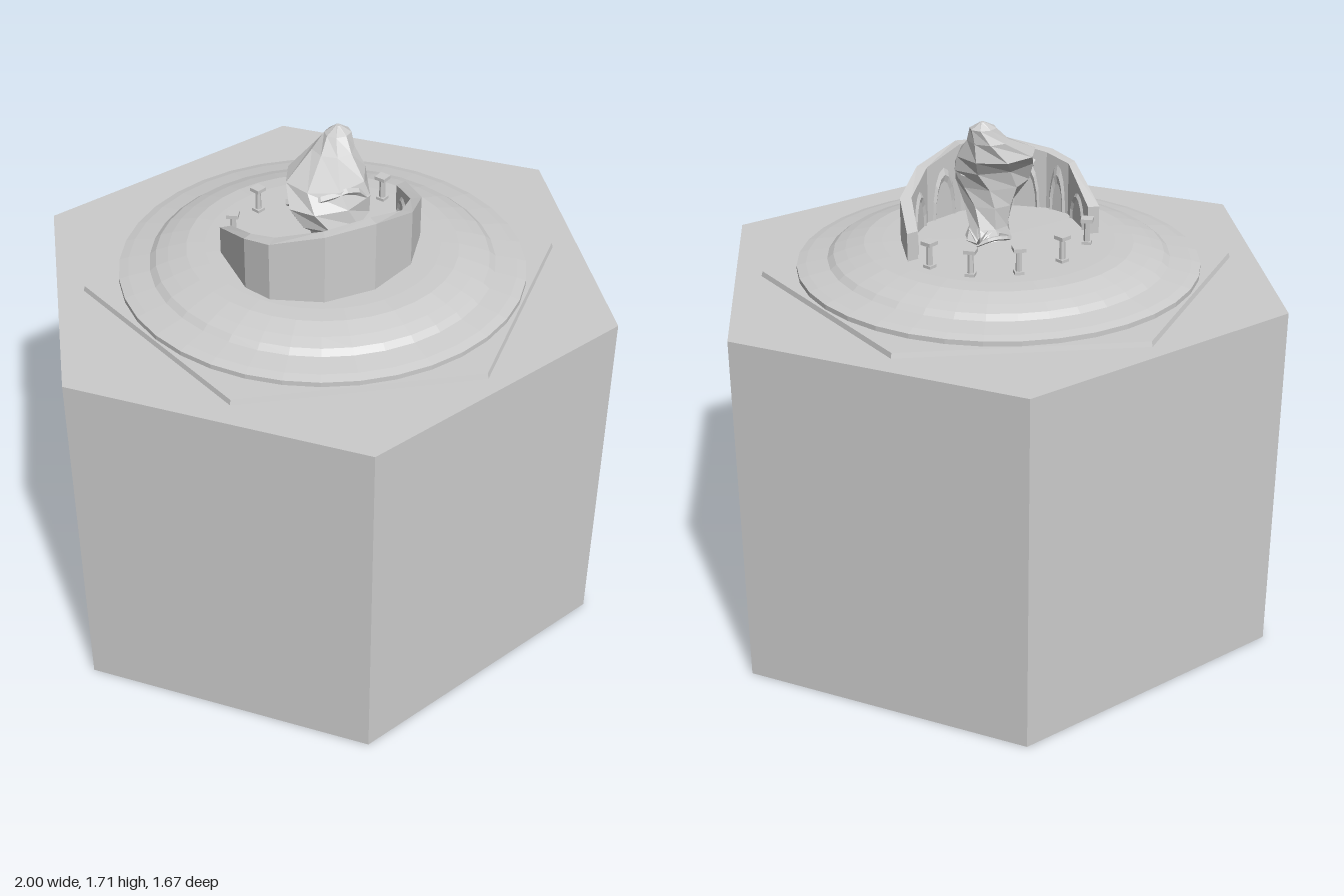
import * as THREE from 'three';

const material = new THREE.MeshStandardMaterial({ color: 0xcccccc, flatShading: true });

function add(parent, name, geometry, x = 0, y = 0, z = 0) {
  const mesh = new THREE.Mesh(geometry, material);
  mesh.name = name;
  mesh.position.set(x, y, z);
  parent.add(mesh);
  return mesh;
}

// Skin a list of closed cross-sections and cap both ends
function loft(sections) {
  const n = sections[0].length, last = (sections.length - 1) * n, index = [];
  for (let i = 0; i < sections.length - 1; i++) {
    for (let j = 0; j < n; j++) {
      const a = i * n + j, b = i * n + (j + 1) % n;
      index.push(a, a + n, b + n, a, b + n, b);
    }
  }
  for (let j = 1; j < n - 1; j++) index.push(0, j, j + 1, last, last + j + 1, last + j);
  const geometry = new THREE.BufferGeometry();
  geometry.setAttribute('position', new THREE.Float32BufferAttribute(sections.flat(2), 3));
  geometry.setIndex(index);
  geometry.computeVertexNormals();
  return geometry;
}

export function createModel() {
  const model = new THREE.Group();
  model.name = 'monument';

  // Hexagonal block with corners on the x axis
  const block = new THREE.CylinderGeometry(1, 1, 1.2, 6);
  block.rotateY(Math.PI / 6).scale(1, 1, 0.965);
  add(model, 'hexagonalBlock', block, 0, 0.6, 0);

  // Thin hexagonal plate with corners on the z axis
  add(model, 'hexagonalPlate', new THREE.CylinderGeometry(0.77, 0.775, 0.016, 6), 0, 1.208, 0);

  // Stepped round mound
  const profile = [[0.66, 1.2], [0.66, 1.232], [0.63, 1.24], [0.56, 1.252], [0.54, 1.268],
    [0.5, 1.282], [0.44, 1.298], [0.38, 1.302], [0, 1.304]];
  add(model, 'mound', new THREE.LatheGeometry(profile.map(p => new THREE.Vector2(...p)), 36));

  // Curved wall: outer x, outer z, inner x, inner z, top height
  const wall = [
    [-0.29, -0.16, -0.255, -0.145, 1.395], [-0.352, 0.05, -0.318, 0.04, 1.48],
    [-0.335, 0.15, -0.295, 0.13, 1.5], [-0.215, 0.27, -0.195, 0.24, 1.535],
    [-0.05, 0.315, -0.04, 0.275, 1.54], [0.13, 0.28, 0.11, 0.25, 1.495],
    [0.27, 0.17, 0.235, 0.155, 1.445], [0.355, 0, 0.315, 0, 1.395],
  ];
  add(model, 'curvedWall', loft(wall.map(([ox, oz, ix, iz, top]) =>
    [[ox, 1.29, oz], [ox, top, oz], [ix, top, iz], [ix, 1.29, iz]])));

  // Arches on the inside of the wall
  const arches = new THREE.Group();
  arches.name = 'wallArches';
  model.add(arches);
  for (let i = 0; i < wall.length - 1; i++) {
    const [, , ax, az, ah] = wall[i], [, , bx, bz, bh] = wall[i + 1];
    const width = Math.hypot(bx - ax, bz - az);
    const radius = width * 0.3, height = ((ah + bh) / 2 - 1.3) * 0.7;
    const arch = add(arches, 'arch', new THREE.TorusGeometry(radius, 0.007, 4, 8, Math.PI),
      (ax + bx) / 2, 1.3, (az + bz) / 2);
    arch.rotation.y = -Math.atan2(bz - az, bx - ax);
    arch.scale.y = height / radius;
  }

  // Free-standing columns across the back
  const columns = new THREE.Group();
  columns.name = 'columns';
  model.add(columns);
  for (const [x, z] of [[-0.2, -0.21], [-0.04, -0.285], [0.13, -0.285], [0.26, -0.21], [0.325, -0.08]]) {
    const column = new THREE.Group();
    column.name = 'column';
    column.position.set(x, 1.3, z);
    column.rotation.y = Math.atan2(x, z);
    add(column, 'columnBase', new THREE.BoxGeometry(0.03, 0.012, 0.03), 0, 0.006, 0);
    add(column, 'columnShaft', new THREE.CylinderGeometry(0.009, 0.011, 0.075, 6), 0, 0.045, 0);
    add(column, 'columnCap', new THREE.BoxGeometry(0.038, 0.012, 0.038), 0, 0.084, 0);
    columns.add(column);
  }

  // Faceted rock sculpture: height, centre x and z, radius x and z
  const levels = [
    [1.295, 0.02, 0.03, 0.1, 0.08], [1.34, 0.01, 0.04, 0.07, 0.06], [1.41, -0.01, 0.07, 0.08, 0.09],
    [1.47, -0.04, 0.09, 0.14, 0.13], [1.53, -0.04, 0.08, 0.15, 0.11],
    [1.58, -0.02, 0.04, 0.135, 0.125], [1.64, 0.035, 0.01, 0.075, 0.08],
    [1.685, 0.058, 0.004, 0.045, 0.04], [1.706, 0.063, 0, 0.008, 0.008],
  ];
  add(model, 'rockSculpture', loft(levels.map(([y, cx, cz, rx, rz], i) =>
    Array.from({ length: 8 }, (_, j) => {
      const t = j * Math.PI / 4 + i * 0.22;
      const r = 1 - 0.12 * ((j * 3 + i) % 3 === 0);
      return [cx + rx * r * Math.cos(t), y, cz + rz * r * Math.sin(t)];
    }))));

  // Raised ridge winding over the rock
  const ridge = new THREE.CatmullRomCurve3([[-0.16, 1.52, 0.02], [-0.11, 1.56, 0.13], [-0.01, 1.57, 0.16],
    [0.05, 1.52, 0.15], [0.1, 1.51, 0.06]].map(p => new THREE.Vector3(...p)));
  add(model, 'rockRidge', new THREE.TubeGeometry(ridge, 10, 0.012, 4));

  // Low root with a spray of twigs behind the rock
  const root = new THREE.CatmullRomCurve3([[0.01, 1.32, -0.02], [0.03, 1.34, -0.1], [0.09, 1.35, -0.1],
    [0.14, 1.33, -0.07]].map(p => new THREE.Vector3(...p)));
  add(model, 'root', new THREE.TubeGeometry(root, 10, 0.008, 5));
  for (let i = 0; i < 6; i++) {
    const t = i * Math.PI / 3;
    const twig = new THREE.ConeGeometry(0.006, 0.065, 4).translate(0, 0.03, 0);
    const mesh = add(model, 'twig', twig, 0.135, 1.335, -0.075);
    mesh.rotation.set(0, t, -1.1 + 0.25 * (i % 3));
  }
  return model;
}
